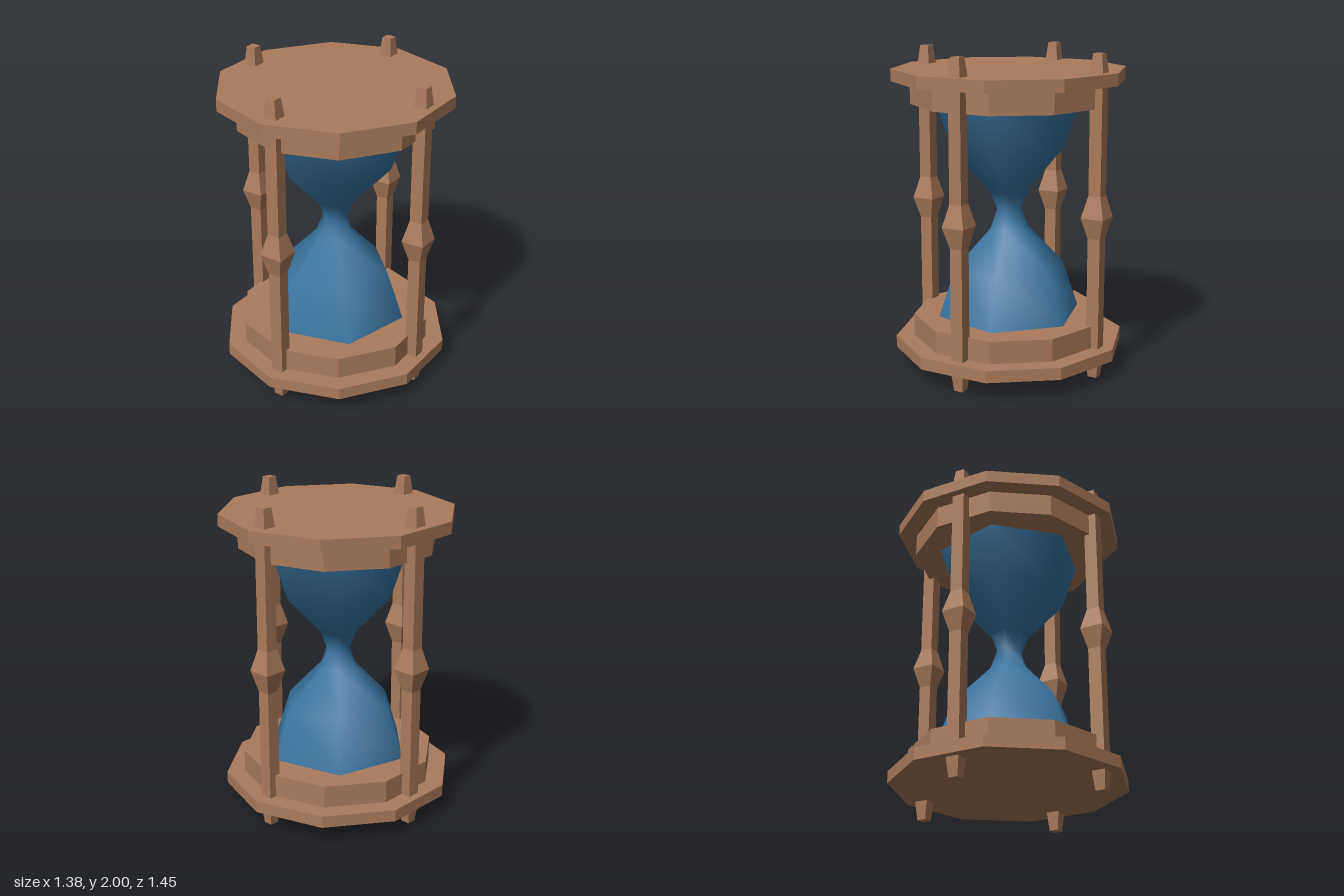
import * as THREE from 'three';

const wood = new THREE.MeshStandardMaterial({ color: 0xaa7b5c });
wood.name = 'wood';
const blueGlass = new THREE.MeshStandardMaterial({ color: 0x3a76a2 });
blueGlass.name = 'blueGlass';

const MID = 1.005; // height of the neck

// Split the faces so that every facet is shaded flat
function faceted(geometry) {
  const flat = geometry.toNonIndexed();
  flat.computeVertexNormals();
  return flat;
}

function lathe(profile, sides, phase) {
  const points = profile.map(([r, y]) => new THREE.Vector2(r, y));
  return new THREE.LatheGeometry(points, sides, phase);
}

export function createModel() {
  const model = new THREE.Group();
  model.name = 'hourglass';

  function add(name, geometry, material, x = 0, y = 0, z = 0) {
    const mesh = new THREE.Mesh(geometry, material);
    mesh.name = name;
    mesh.position.set(x, y, z);
    model.add(mesh);
  }

  // Ten-sided end plates, each with a smaller collar holding the glass
  const plate = faceted(new THREE.CylinderGeometry(0.725, 0.725, 0.075, 10));
  const collar = faceted(new THREE.CylinderGeometry(0.61, 0.61, 0.14, 10));
  add('bottomPlate', plate, wood, 0, 0.155);
  add('topPlate', plate, wood, 0, 1.85);
  add('bottomCollar', collar, wood, 0, 0.262);
  add('topCollar', collar, wood, 0, 1.743);

  // Six-sided smooth glass with a narrow neck
  const glass = lathe([
    [0.46, 0.33], [0.357, 0.635], [0.122, 0.885], [0.08, MID],
    [0.122, 1.12], [0.357, 1.375], [0.46, 1.675],
  ], 6, Math.PI / 4);
  add('glassBulbs', glass, blueGlass);

  // Square posts: tapered foot, shaft, diamond bulge, shaft, tapered finial.
  // Half widths are turned into corner radii.
  const halfWidths = [
    [0, 0], [0.029, 0], [0.042, 0.12], [0.04, 0.19], [0.04, 0.885], [0.073, 1.015],
    [0.04, 1.15], [0.04, 1.81], [0.042, 1.888], [0.029, 2], [0, 2],
  ];
  const post = faceted(lathe(halfWidths.map(([w, y]) => [w * Math.SQRT2, y]), 4, Math.PI / 4));
  ['frontPost', 'leftPost', 'backPost', 'rightPost'].forEach((name, i) => {
    const a = i * Math.PI / 2;
    add(name, post, wood, 0.603 * Math.sin(a), 0, 0.603 * Math.cos(a));
  });

  return model;
}
